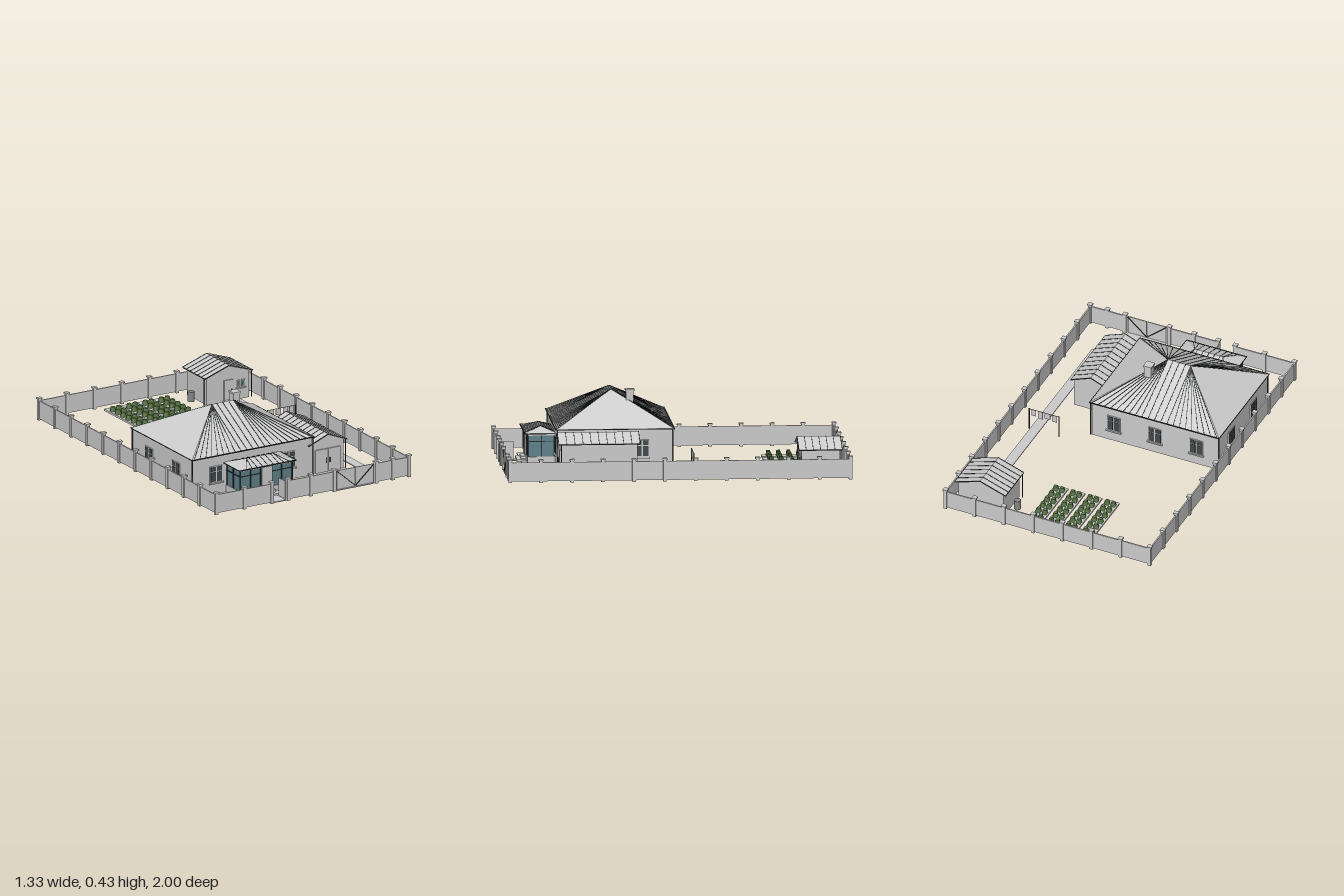
import * as THREE from 'three';

const mat = (name, color, side = THREE.FrontSide) => {
  const m = new THREE.MeshStandardMaterial({ color, side });
  m.name = name;
  return m;
};

export function createModel() {
  const root = new THREE.Group();
  root.name = 'walledHomestead';
  const GREY = mat('plasterGrey', 0xcccccc);
  const ROOF = mat('roofGrey', 0xcccccc, THREE.DoubleSide);
  const DARK = mat('darkMetal', 0x2c3032);
  const PANE = mat('darkPane', 0x40484a);
  const GLASS = mat('tealGlass', 0x5f808a);
  const LEAF = mat('leafGreen', 0x5f7f48);
  const BARREL = mat('barrelGrey', 0x85898a);

  const group = (name, parent = root) => {
    const g = new THREE.Group();
    g.name = name;
    parent.add(g);
    return g;
  };
  const add = (parent, name, geo, m) => {
    const mesh = new THREE.Mesh(geo, m);
    mesh.name = name;
    parent.add(mesh);
    return mesh;
  };
  // Box given by its limits on each axis
  const box = (parent, name, m, x0, x1, y0, y1, z0, z1) => {
    const b = add(parent, name, new THREE.BoxGeometry(x1 - x0, y1 - y0, z1 - z0), m);
    b.position.set((x0 + x1) / 2, (y0 + y1) / 2, (z0 + z1) / 2);
    return b;
  };
  // Square bar between two points
  const bar = (parent, name, m, a, b, t = 0.004) => {
    const p = new THREE.Vector3(...a), q = new THREE.Vector3(...b);
    const mesh = add(parent, name, new THREE.BoxGeometry(t, t, p.distanceTo(q)), m);
    mesh.position.copy(p).lerp(q, 0.5);
    mesh.lookAt(q);
    return mesh;
  };
  // Hipped roof with seams fanning from the ridge ends
  const hipRoof = (parent, x0, x1, z0, z1, y0, y1, r0, r1, rz, step) => {
    const A = [x0, y0, z1], B = [x1, y0, z1], C = [x1, y0, z0], D = [x0, y0, z0];
    const R = [r0, y1, rz], S = [r1, y1, rz];
    const tris = [A, B, S, A, S, R, B, C, S, C, D, R, C, R, S, D, A, R, A, D, C, A, C, B];
    const geo = new THREE.BufferGeometry();
    geo.setAttribute('position', new THREE.Float32BufferAttribute(tris.flat(), 3));
    geo.computeVertexNormals();
    add(parent, 'hippedRoof', geo, ROOF);
    const mid = (r0 + r1) / 2, n = Math.floor((x1 - mid - 0.01) / step);
    for (let i = -n; i <= n; i++) {
      const x = mid + i * step, top = Math.min(r1, Math.max(r0, x));
      for (const z of [z0, z1]) bar(parent, 'roofSeam', DARK, [x, y0, z], [top, y1, rz], 0.0035);
    }
    for (const z of [z0, z1]) bar(parent, 'gutter', DARK, [x0, y0, z], [x1, y0, z], 0.006);
    for (const x of [x0, x1]) bar(parent, 'eaveTrim', DARK, [x, y0, z0], [x, y0, z1], 0.004);
  };
  // Gabled hut: walls, roof sheet, seams and downpipes; ridge runs along z
  const gableHut = (parent, x0, x1, z0, z1, over, eave, apex, step) => {
    const c = (x0 + x1) / 2, e0 = x0 - over, e1 = x1 + over, t = 0.006;
    const wallTop = eave + (apex - eave) * over / (c - e0) - t;
    const prism = (pts, za, zb) => {
      const g = new THREE.ExtrudeGeometry(new THREE.Shape(pts.map(p => new THREE.Vector2(...p))),
        { depth: zb - za, bevelEnabled: false });
      return g.translate(0, 0, za);
    };
    add(parent, 'gableWalls', prism([[x0, 0], [x1, 0], [x1, wallTop], [c, apex - t], [x0, wallTop]], z0, z1), GREY);
    const f0 = z0 - 0.015, f1 = z1 + 0.015;
    add(parent, 'gableRoof', prism([[e0, eave - t], [c, apex - t], [e1, eave - t], [e1, eave], [c, apex], [e0, eave]], f0, f1), ROOF);
    const n = Math.round((f1 - f0) / step);
    for (let i = 0; i <= n; i++) {
      const z = f0 + (f1 - f0) * i / n;
      for (const e of [e0, e1]) bar(parent, 'roofSeam', DARK, [e, eave, z], [c, apex, z], 0.0035);
    }
    for (const e of [e0, e1]) {
      bar(parent, 'gutter', DARK, [e, eave - 0.003, f0], [e, eave - 0.003, f1], 0.005);
      bar(parent, 'downpipe', DARK, [e, 0, z1], [e, eave, z1], 0.005);
    }
  };
  // Window facing +z before turning: surround, panes and sill
  const windowAt = (parent, x, y, z, turn, w = 0.085, h = 0.1, pane = PANE) => {
    const g = group('window', parent);
    box(g, 'windowFrame', GREY, -w / 2, w / 2, -h / 2, h / 2, -0.002, 0.004);
    const pw = w / 2 - 0.008;
    for (const s of [-1, 1]) {
      const cx = s * w / 4;
      box(g, 'lowerPane', pane, cx - pw / 2, cx + pw / 2, -h / 2 + 0.006, h * 0.14, 0, 0.006);
      box(g, 'upperPane', pane, cx - pw / 2, cx + pw / 2, h * 0.19, h / 2 - 0.005, 0, 0.006);
    }
    box(g, 'windowSill', GREY, -w / 2 - 0.006, w / 2 + 0.006, -h / 2 - 0.008, -h / 2, -0.002, 0.012);
    g.position.set(x, y, z);
    g.rotation.y = turn;
  };

  // Main house
  const house = group('house');
  box(house, 'houseWalls', GREY, -0.62, 0.185, 0, 0.235, 0.012, 0.673);
  hipRoof(house, -0.63, 0.195, 0, 0.685, 0.235, 0.42, -0.29, -0.145, 0.343, 0.04);
  for (const x of [-0.462, 0.028]) windowAt(house, x, 0.122, 0.673, 0);
  for (const x of [-0.48, -0.2175, 0.045]) windowAt(house, x, 0.122, 0.012, Math.PI);
  for (const z of [0.19, 0.49]) windowAt(house, -0.62, 0.122, z, -Math.PI / 2);
  windowAt(house, 0.185, 0.122, 0.187, Math.PI / 2, 0.08);
  for (const x of [-0.625, 0.19]) for (const z of [0.01, 0.677])
    bar(house, 'downpipe', DARK, [x, 0, z], [x, 0.235, z], 0.006);
  box(house, 'chimney', GREY, -0.094, -0.052, 0.3, 0.422, 0.218, 0.262);
  box(house, 'chimneyCap', GREY, -0.099, -0.047, 0.422, 0.432, 0.213, 0.267);

  // Glazed porch
  const porch = group('porch');
  box(porch, 'porchBase', GREY, -0.395, -0.04, 0, 0.045, 0.673, 0.832);
  box(porch, 'porchGlazing', GLASS, -0.39, -0.045, 0.045, 0.17, 0.673, 0.827);
  box(porch, 'porchTopRail', GREY, -0.396, -0.039, 0.168, 0.18, 0.673, 0.833);
  for (const x of [-0.393, -0.322, -0.255, -0.18, -0.113, -0.042])
    box(porch, 'porchMullion', DARK, x - 0.003, x + 0.003, 0.045, 0.17, 0.825, 0.832);
  for (const x of [-0.392, -0.043]) {
    for (const z of [0.68, 0.752])
      box(porch, 'sideMullion', DARK, x - 0.003, x + 0.003, 0.045, 0.17, z - 0.003, z + 0.003);
    box(porch, 'sideTransom', DARK, x - 0.003, x + 0.003, 0.132, 0.136, 0.673, 0.83);
  }
  box(porch, 'frontTransom', DARK, -0.393, -0.042, 0.132, 0.136, 0.825, 0.831);
  box(porch, 'porchDoor', GREY, -0.252, -0.183, 0.03, 0.17, 0.825, 0.837);
  hipRoof(porch, -0.41, -0.027, 0.66, 0.848, 0.18, 0.212, -0.305, -0.125, 0.752, 0.036);
  box(porch, 'upperStep', GREY, -0.265, -0.17, 0, 0.03, 0.83, 0.862);
  box(porch, 'lowerStep', GREY, -0.295, -0.145, 0, 0.015, 0.83, 0.887);

  // Garage with double doors
  const garage = group('garage');
  gableHut(garage, 0.175, 0.4, 0.23, 0.67, 0.014, 0.185, 0.236, 0.045);
  for (const s of [-1, 1]) {
    const x = 0.292 + s * 0.043;
    box(garage, 'garageDoorLeaf', GREY, x - 0.041, x + 0.041, 0.005, 0.145, 0.665, 0.678);
    box(garage, 'doorHandle', DARK, x - s * 0.03 - 0.003, x - s * 0.03 + 0.003, 0.06, 0.09, 0.676, 0.682);
  }
  bar(garage, 'doorGap', DARK, [0.292, 0.005, 0.672], [0.292, 0.145, 0.672], 0.006);

  // Shed with water barrel
  const shed = group('shed');
  gableHut(shed, 0.31, 0.595, -0.925, -0.705, 0.018, 0.168, 0.223, 0.042);
  box(shed, 'shedDoor', GREY, 0.425, 0.485, 0.01, 0.13, -0.71, -0.698);
  box(shed, 'doorHandle', DARK, 0.474, 0.479, 0.06, 0.075, -0.7, -0.695);
  box(shed, 'shedStep', GREY, 0.42, 0.49, 0, 0.01, -0.705, -0.675);
  windowAt(shed, 0.54, 0.095, -0.705, 0, 0.05, 0.045, GLASS);
  add(shed, 'waterBarrel', new THREE.CylinderGeometry(0.02, 0.02, 0.06, 16), BARREL).position.set(0.272, 0.03, -0.815);

  // Paving
  const paving = group('paving');
  for (const [x0, x1, z0, z1] of [[0.165, 0.41, 0.67, 0.99], [0.47, 0.53, -0.69, 0.7],
    [0.41, 0.53, 0.7, 0.755], [-0.26, -0.18, 0.887, 0.985], [-0.465, -0.31, 0.81, 0.865], [-0.13, 0.025, 0.81, 0.865]])
    box(paving, 'pavedPath', GREY, x0, x1, 0, 0.006, z0, z1);

  // Perimeter wall: panels between capped posts
  const fence = group('perimeterWall');
  const X = 0.65, Z = 0.985;
  const post = (x, z) => {
    box(fence, 'wallPost', GREY, x - 0.01, x + 0.01, 0, 0.127, z - 0.01, z + 0.01);
    box(fence, 'postCap', GREY, x - 0.014, x + 0.014, 0.127, 0.135, z - 0.014, z + 0.014);
  };
  for (const s of [-1, 1]) {
    box(fence, 'sideWall', GREY, s * X - 0.004, s * X + 0.004, 0.008, 0.118, -Z, Z);
    for (let i = 0; i <= 11; i++) post(s * X, -Z + 2 * Z * i / 11);
  }
  box(fence, 'backWall', GREY, -X, X, 0.008, 0.118, -Z - 0.004, -Z + 0.004);
  for (let i = 1; i < 7; i++) post(-X + 2 * X * i / 7, -Z);
  for (const [a, b] of [[-X, -0.275], [-0.165, 0.145], [0.428, X]])
    box(fence, 'frontWall', GREY, a, b, 0.008, 0.12, Z - 0.004, Z + 0.004);
  for (const x of [-0.46, -0.275, -0.165, -0.012, 0.145, 0.428, 0.54]) post(x, Z);

  // Yard gates with diagonal braces, and the open garden gate
  const gates = group('gates');
  for (const s of [-1, 1]) {
    const outer = 0.287 + s * 0.122, inner = 0.287 + s * 0.002;
    box(gates, 'gateLeaf', GREY, Math.min(outer, inner), Math.max(outer, inner), 0.008, 0.122, Z - 0.003, Z + 0.003);
    for (const z of [Z - 0.004, Z + 0.004])
      bar(gates, 'gateBrace', DARK, [outer, 0.118, z], [inner, 0.013, z], 0.005);
  }
  box(gates, 'gardenGate', GREY, -0.182, -0.177, 0.01, 0.118, 0.905, 0.98);

  // Washing line
  const line = group('washingLine');
  for (const x of [0.347, 0.537]) {
    bar(line, 'linePost', DARK, [x, 0, -0.088], [x, 0.145, -0.088], 0.006);
  }
  bar(line, 'lineWire', DARK, [0.347, 0.142, -0.088], [0.537, 0.142, -0.088], 0.002);
  [[0.375, 0.03, 0.045], [0.42, 0.035, 0.038], [0.465, 0.028, 0.05], [0.507, 0.026, 0.042]].forEach(([x, w, h]) =>
    box(line, 'laundry', GREY, x - w / 2, x + w / 2, 0.142 - h, 0.142, -0.09, -0.086));

  // Vegetable beds, two rows of plants in each
  const garden = group('vegetableGarden');
  for (const x of [-0.205, -0.095, 0.014, 0.122]) {
    box(garden, 'plantingBed', GREY, x - 0.042, x + 0.042, 0, 0.012, -0.927, -0.533);
    for (let i = 0; i < 6; i++) for (const s of [-1, 1]) {
      const plant = add(garden, 'plant', new THREE.CylinderGeometry(0.014, 0.019, 0.028, 4).rotateY(Math.PI / 4), LEAF);
      plant.position.set(x + s * 0.02, 0.026, -0.865 + i * 0.0585);
    }
  }
  return root;
}
